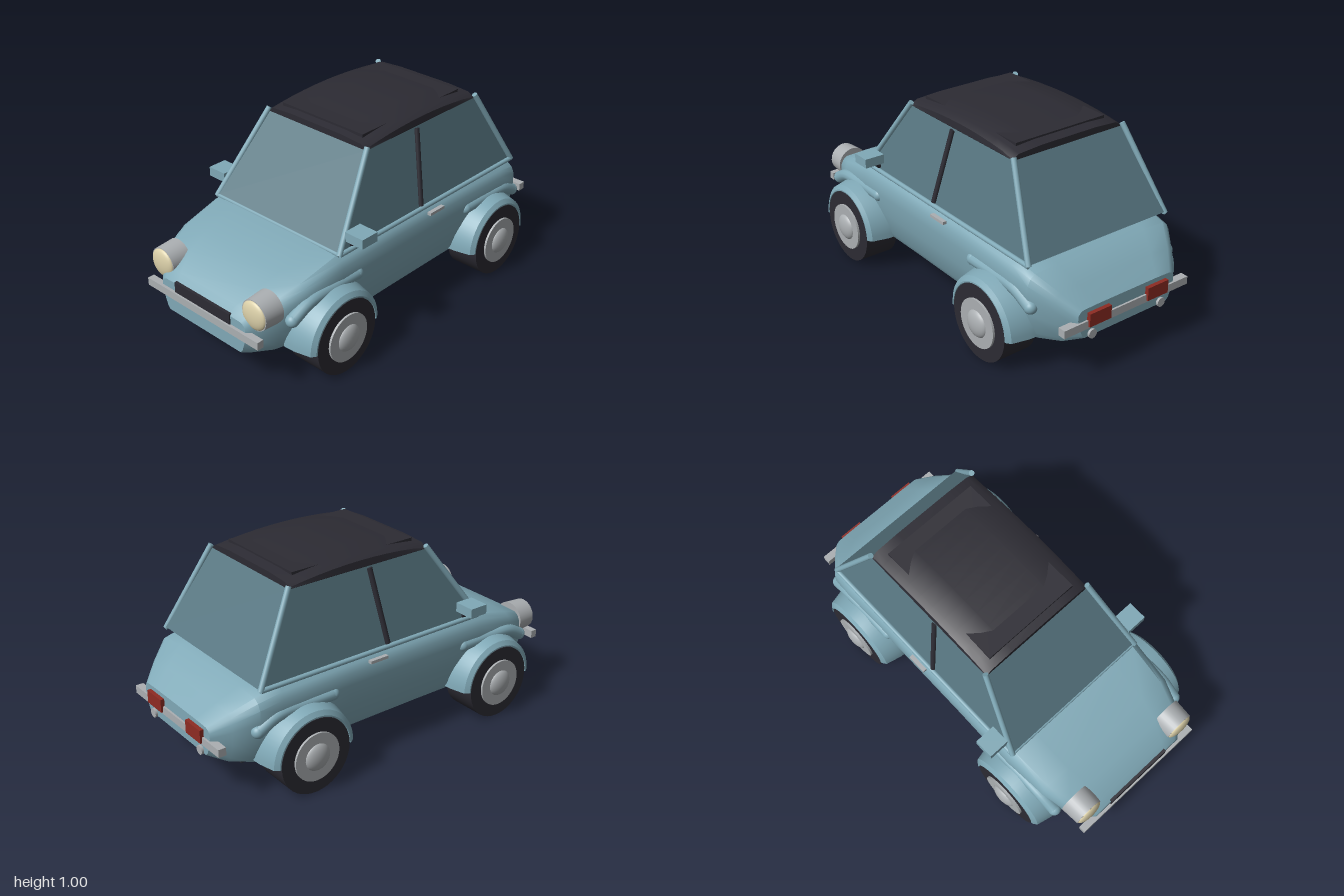
import * as THREE from 'three';
import { toCreasedNormals } from 'three/addons/utils/BufferGeometryUtils.js';

const V = (x, y, z) => new THREE.Vector3(x, y, z);

function material(name, color, side = THREE.FrontSide) {
  const m = new THREE.MeshStandardMaterial({ color, side });
  m.name = name;
  return m;
}

// Skins closed rings (counter-clockwise seen from +z, ordered back to front) and caps both ends
function loft(rings, crease) {
  const n = rings[0].length, index = [], pts = rings.flat();
  for (let i = 0; i < rings.length - 1; i++) {
    for (let j = 0; j < n; j++) {
      const a = i * n + j, b = i * n + (j + 1) % n;
      index.push(a, b, b + n, a, b + n, a + n);
    }
  }
  const last = (rings.length - 1) * n;
  for (let j = 1; j < n - 1; j++) index.push(0, j + 1, j, last, last + j, last + j + 1);
  const g = new THREE.BufferGeometry().setFromPoints(pts);
  g.setIndex(index);
  return toCreasedNormals(g, crease);
}

// Mirrors a right-hand half profile, listed from bottom to top, into a full ring
const ring = (half, z) => [
  ...half.map(([x, y]) => V(x, y, z)),
  ...half.slice().reverse().map(([x, y]) => V(-x, y, z)),
];

export function createModel() {
  const car = new THREE.Group();
  car.name = 'car';
  const paint = material('body paint', 0x80a9b7, THREE.DoubleSide);
  const glass = material('window glass', 0x587782, THREE.DoubleSide);
  const black = material('black trim', 0x2c2b33);
  const metal = material('bright metal', 0xabafb2);
  const cream = material('lamp lens', 0xdbd0a9);
  const red = material('tail lamp', 0x8e2b23);

  function add(parent, name, geometry, mat, x = 0, y = 0, z = 0) {
    const m = new THREE.Mesh(geometry, mat);
    m.name = name;
    m.position.set(x, y, z);
    parent.add(m);
    return m;
  }
  // Box given by its limits on each axis
  const box = (parent, name, mat, [x0, x1], [y0, y1], [z0, z1]) =>
    add(parent, name, new THREE.BoxGeometry(x1 - x0, y1 - y0, z1 - z0), mat,
      (x0 + x1) / 2, (y0 + y1) / 2, (z0 + z1) / 2);
  // Round rod between two points
  function rod(parent, name, mat, a, b, r) {
    const m = add(parent, name, new THREE.CylinderGeometry(r, r, a.distanceTo(b), 12), mat);
    m.position.copy(a).add(b).multiplyScalar(0.5);
    m.quaternion.setFromUnitVectors(V(0, 1, 0), b.clone().sub(a).normalize());
    return m;
  }
  const ball = (r) => new THREE.SphereGeometry(r, 28, 18);

  // Lower body: z, half width, bottom, top
  const stations = [
    [-0.98, 0.29, 0.22, 0.37], [-0.9, 0.36, 0.185, 0.44], [-0.8, 0.43, 0.175, 0.515],
    [-0.68, 0.44, 0.175, 0.54], [-0.3, 0.435, 0.175, 0.548], [0.15, 0.435, 0.175, 0.55],
    [0.52, 0.44, 0.175, 0.55], [0.74, 0.425, 0.175, 0.495], [0.86, 0.385, 0.175, 0.45],
    [0.95, 0.32, 0.18, 0.395], [0.985, 0.285, 0.185, 0.355],
  ];
  const section = [[0.86, 0], [0.91, 0.1], [0.97, 0.4], [1, 0.68], [0.995, 0.84], [0.96, 0.93], [0.9, 0.985], [0.6, 1]];
  const bodyRings = stations.map(([z, w, y0, y1]) =>
    ring(section.map(([u, v]) => [u * w, y0 + v * (y1 - y0)]), z));
  add(car, 'body', loft(bodyRings, 0.6), paint);
  box(car, 'floor', black, [-0.3, 0.3], [0.145, 0.18], [-0.83, 0.84]);

  // Glasshouse: four sloping panes
  const corners = [[1, 1], [1, -1], [-1, -1], [-1, 1]];
  const low = corners.map(([x, z]) => V(x * 0.405, 0.555, z > 0 ? 0.52 : -0.79));
  const high = corners.map(([x, z]) => V(x * 0.318, 0.94, z > 0 ? 0.24 : -0.56));
  ['leftWindow', 'rearWindow', 'rightWindow', 'windscreen'].forEach((name, i) => {
    const k = (i + 1) % 4;
    const g = new THREE.BufferGeometry().setFromPoints([low[i], low[k], high[k], low[i], high[k], high[i]]);
    g.computeVertexNormals();
    add(car, name, g, glass);
  });

  // Arched roof with a raised centre panel
  const roofRings = [];
  for (let i = 0; i <= 10; i++) {
    const t = i / 5 - 1, top = 1 - 0.03 * t * t;
    roofRings.push(ring([[0.305, 0.92], [0.32, 0.94], [0.316, top - 0.025], [0.285, top - 0.008], [0.16, top]],
      -0.157 + 0.398 * t));
  }
  add(car, 'roof', loft(roofRings, 0.6), black);
  box(car, 'roofPanel', black, [-0.26, 0.26], [0.95, 0.986], [-0.5, 0.2]);

  // Grille, bumpers
  box(car, 'grille', black, [-0.188, 0.188], [0.26, 0.365], [0.93, 0.991]);
  box(car, 'frontBumper', metal, [-0.378, 0.378], [0.27, 0.31], [0.965, 1]);
  box(car, 'rearBumper', metal, [-0.375, 0.375], [0.27, 0.31], [-0.99, -0.95]);

  // Rods across the base of the front and rear windows
  rod(car, 'windscreenSill', paint, V(-0.41, 0.548, 0.515), V(0.41, 0.548, 0.515), 0.011);

  // Everything that exists on both sides
  for (const s of [1, -1]) {
    const side = new THREE.Group();
    side.name = s > 0 ? 'leftSide' : 'rightSide';
    side.scale.x = s;
    car.add(side);

    // Window pillars and belt rail
    rod(side, 'frontPillar', paint, V(0.412, 0.545, 0.52), V(0.32, 0.955, 0.235), 0.014);
    rod(side, 'rearPillar', paint, V(0.412, 0.545, -0.785), V(0.32, 0.955, -0.56), 0.014);
    rod(side, 'beltRail', paint, V(0.412, 0.548, 0.52), V(0.412, 0.548, -0.785), 0.012);
    rod(side, 'doorPillar', black, V(0.404, 0.56, -0.06), V(0.322, 0.93, -0.11), 0.014);

    // Door mirror and handle
    box(side, 'mirror', paint, [0.405, 0.512], [0.602, 0.65], [0.375, 0.475]);
    rod(side, 'mirrorStalk', black, V(0.395, 0.56, 0.427), V(0.45, 0.61, 0.427), 0.013);
    box(side, 'doorHandle', metal, [0.425, 0.446], [0.506, 0.521], [-0.192, -0.088]);

    // Headlamp
    const shell = new THREE.CylinderGeometry(0.077, 0.084, 0.1, 32).rotateX(Math.PI / 2);
    add(side, 'headlampShell', shell, metal, 0.312, 0.4, 0.903);
    add(side, 'headlampLens', ball(0.073).scale(1, 1, 0.34), cream, 0.312, 0.4, 0.951);

    // Tail lamp and small round lamp below it
    box(side, 'tailLamp', red, [0.112, 0.238], [0.28, 0.347], [-1, -0.965]);
    const lamp = new THREE.CylinderGeometry(0.023, 0.023, 0.04, 20).rotateX(Math.PI / 2);
    add(side, 'reverseLamp', lamp, metal, 0.21, 0.232, -0.972);

    // Wheels and fenders; d points to the nearer end of the car
    for (const [name, z, d] of [['front', 0.583, 1], ['rear', -0.567, -1]]) {
      const wheel = new THREE.Group();
      wheel.name = name + 'Wheel';
      wheel.position.set(0, 0.19, z);
      side.add(wheel);
      const disc = (r, w) => new THREE.CylinderGeometry(r, r, w, 40).rotateZ(-Math.PI / 2);
      add(wheel, 'tyre', disc(0.19, 0.18), black, 0.43);
      add(wheel, 'rim', disc(0.122, 0.04), metal, 0.511);
      add(wheel, 'hubCap', ball(0.07).scale(0.45, 1, 1), metal, 0.524);

      // Half ring arch over the tyre
      const profile = [[0.193, 0.36], [0.193, 0.521], [0.2, 0.521], [0.222, 0.505], [0.242, 0.42], [0.245, 0.36]]
        .map(([r, x]) => new THREE.Vector2(r, x));
      const arch = new THREE.LatheGeometry(profile, 28, Math.PI, Math.PI).rotateZ(-Math.PI / 2);
      add(wheel, 'fender', toCreasedNormals(arch, 0.6), paint);

      // Rounded swelling along the arch, lower toward the end of the car
      const path = new THREE.CatmullRomCurve3([
        V(0.415, 0.165, d * 0.24), V(0.42, 0.215, d * 0.14), V(0.42, 0.222, 0), V(0.42, 0.222, d * -0.17),
      ]);
      add(wheel, 'fenderSwell', new THREE.TubeGeometry(path, 20, 0.032, 12), paint);
      for (const t of [0, 1]) {
        const p = path.getPoint(t);
        add(wheel, 'fenderSwellEnd', ball(0.032), paint, p.x, p.y, p.z);
      }
    }
  }
  return car;
}
